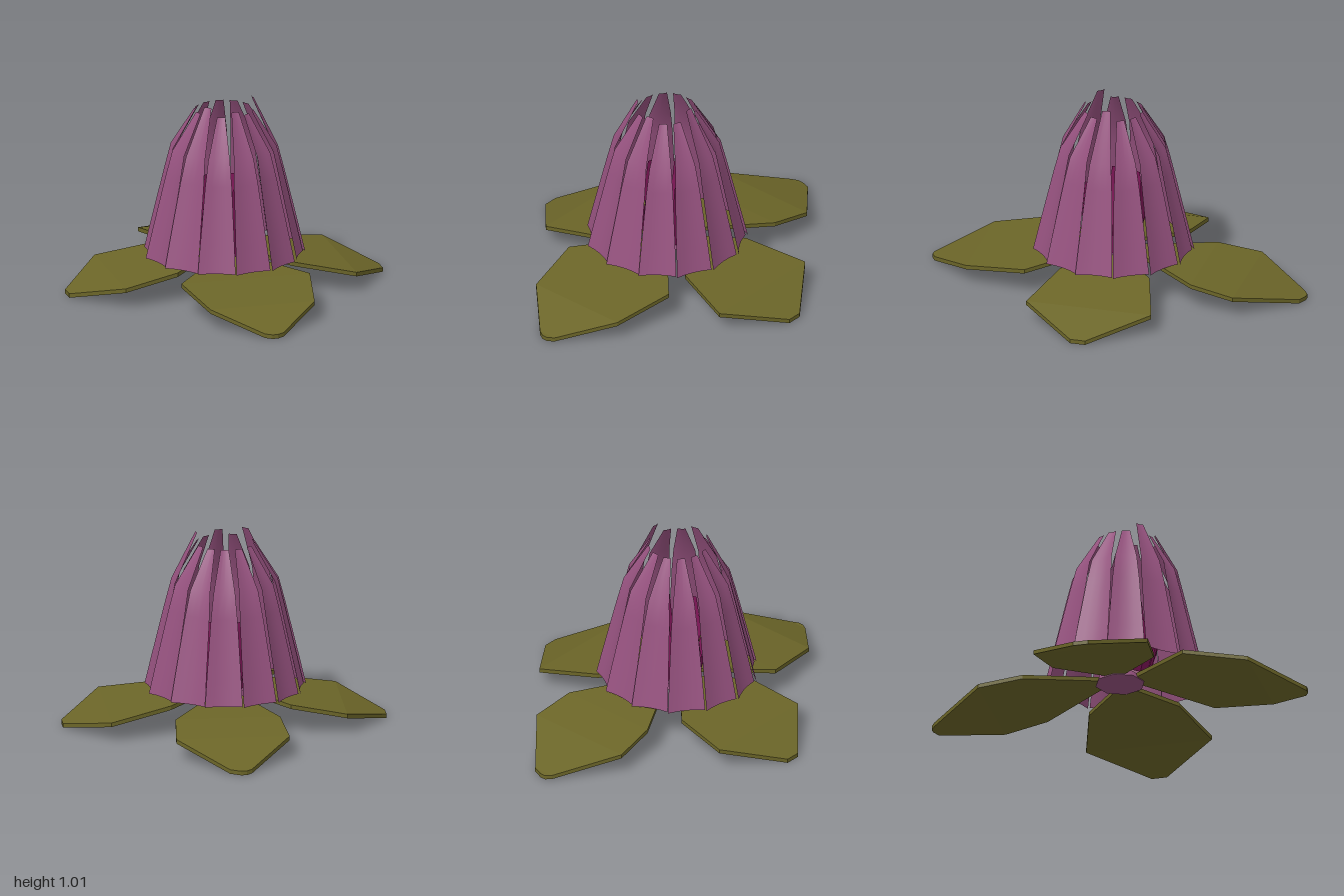
import * as THREE from 'three';

const paint = (color, opts = {}) => {
  const m = new THREE.MeshStandardMaterial(opts);
  m.color.set(color);
  return m;
};

// Join rows of points into a surface; closed rows form a capped solid of four-point sections
function loft(rows, closed) {
  const n = rows[0].length, index = [];
  const span = closed ? n : n - 1;
  for (let i = 0; i < rows.length - 1; i++) {
    for (let j = 0; j < span; j++) {
      const k = (j + 1) % n;
      const a = i * n + j, b = i * n + k, c = a + n, d = b + n;
      index.push(a, c, d, a, d, b);
    }
  }
  if (closed) {
    const e = (rows.length - 1) * n;
    index.push(0, 1, 2, 0, 2, 3, e, e + 2, e + 1, e, e + 3, e + 2);
  }
  const g = new THREE.BufferGeometry();
  g.setAttribute('position', new THREE.Float32BufferAttribute(rows.flat(2), 3));
  g.setIndex(index);
  g.computeVertexNormals();
  return g;
}

// A channelled petal centred on +x: profile rows are [radius, y, width]
function petalGeometry(profile, lift) {
  const rows = profile.map(([r, y, w]) =>
    [1, 0.5, 0, -0.5, -1].map((t) => {
      // the edges curl outwards, one side a little more, so neighbours overlap
      const edge = r * Math.cos(w / 2 / r * t) + lift * w * (t * t + 0.25 * t - 0.3);
      return [edge, y, t * w / 2];
    }));
  return loft(rows, false);
}

// A bent leaf slab pointing to +z: rows are [distance, y, left x, right x]
function leafGeometry(rows, thickness = 0.022) {
  return loft(rows.map(([z, y, l, r]) => [
    [l, y, z], [r, y, z], [r, y - thickness, z], [l, y - thickness, z],
  ]), true);
}

export function createModel() {
  const group = new THREE.Group();
  const petalMat = paint(0x96527f, { side: THREE.DoubleSide });
  const innerMat = paint(0x7d1556, { side: THREE.DoubleSide });
  const leafMat = paint(0x6b6528, { flatShading: true });
  const add = (parent, name, geometry, material) => {
    const mesh = new THREE.Mesh(geometry, material);
    mesh.name = name;
    parent.add(mesh);
    return mesh;
  };

  // Bud of overlapping petals, open below
  const bud = new THREE.Group();
  bud.name = 'bud';
  bud.position.set(-0.01, 0, 0.035);
  group.add(bud);
  const count = 13;
  const tallTips = { 0: 1.01, 3: 0.98, 5: 1.0 };
  for (let k = 0; k < count; k++) {
    const tip = tallTips[k] ?? 0.955;
    const turn = -k * Math.PI * 2 / count;
    const petal = petalGeometry([
      [0.397, 0.18, 0.195], [0.366, 0.32, 0.178], [0.332, 0.47, 0.158],
      [0.298, 0.62, 0.138], [0.266, 0.755, 0.112], [0.15, tip, 0.042],
    ], 0.13);
    add(bud, 'petal', petal, petalMat).rotation.y = turn;

    // Small inner petals
    const inner = petalGeometry([
      [0.11, 0.18, 0.06], [0.16, 0.36, 0.07], [0.15, 0.56, 0.025],
    ], 0.1);
    add(bud, 'innerPetal', inner, innerMat).rotation.y = turn;
  }

  // Base disc closing the middle of the bud
  const base = add(bud, 'baseDisc', new THREE.CylinderGeometry(0.12, 0.13, 0.03, 8), petalMat);
  base.position.set(0.01, 0.17, -0.035);

  // Four drooping leaves
  const leaves = [
    ['frontLeaf', 0, [
      [0.1, 0.185, -0.05, 0.05], [0.42, 0.15, -0.345, 0.345],
      [0.75, 0.105, -0.28, 0.28], [0.98, 0.024, -0.05, 0.05], [1, 0.022, -0.015, 0.015]]],
    ['backLeaf', Math.PI, [
      [0.1, 0.185, -0.05, 0.05], [0.46, 0.15, -0.3, 0.245],
      [0.69, 0.112, -0.32, 0.27], [0.98, 0.026, -0.07, 0.045], [1, 0.022, -0.015, 0.015]]],
    ['leftLeaf', Math.PI / 2, [
      [0.1, 0.185, -0.05, 0.05], [0.3, 0.16, -0.24, 0.24],
      [0.62, 0.105, -0.335, 0.335], [0.842, 0.022, -0.04, 0.04]]],
    ['rightLeaf', -Math.PI / 2, [
      [0.1, 0.185, -0.05, 0.05], [0.32, 0.158, -0.28, 0.26],
      [0.61, 0.108, -0.31, 0.3], [0.842, 0.022, -0.04, 0.04]]],
  ];
  for (const [name, turn, rows] of leaves) {
    add(group, name, leafGeometry(rows), leafMat).rotation.y = turn;
  }
  return group;
}
